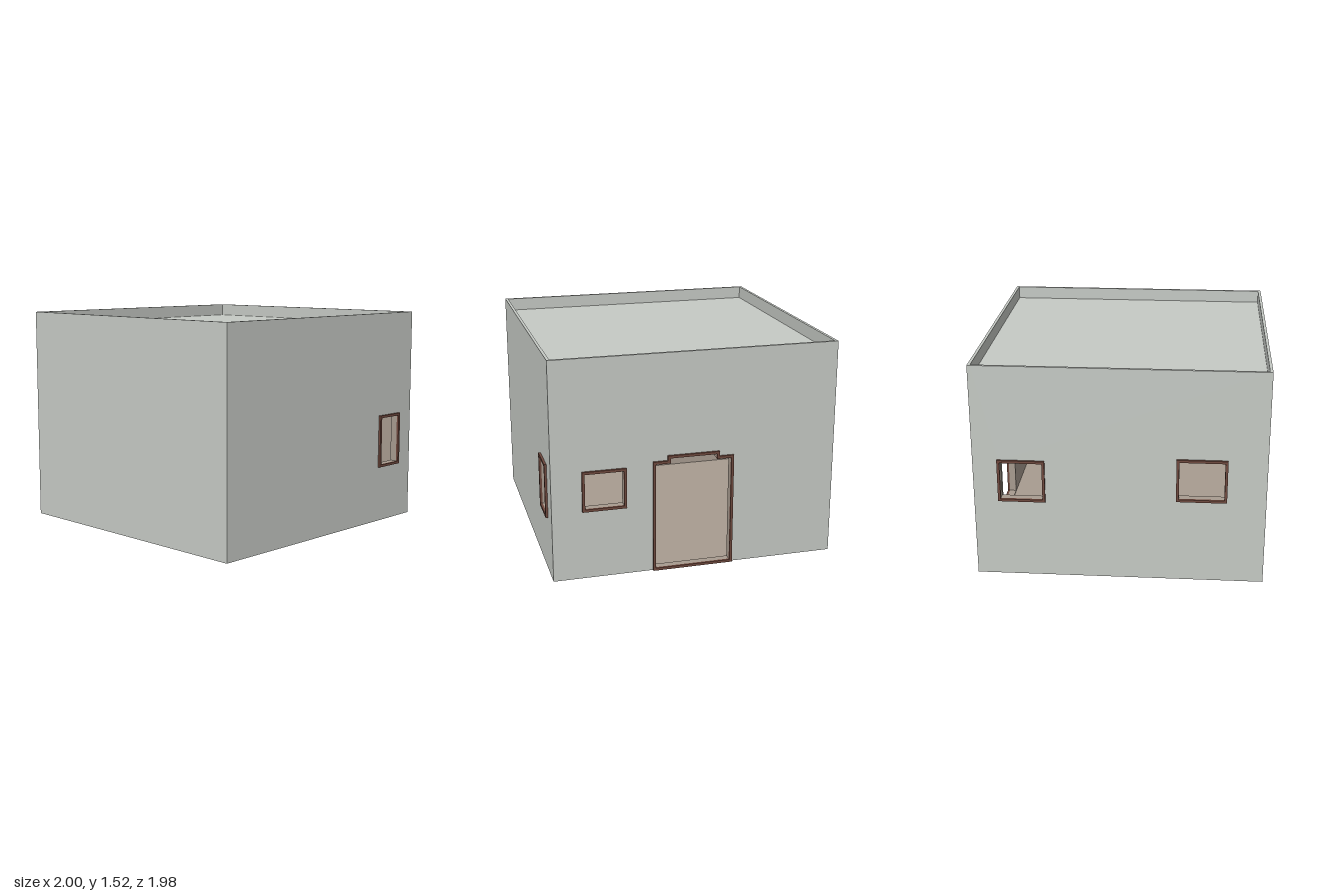
import * as THREE from 'three';

const HALF = 0.984;      // half the outer width of the square building
const HEIGHT = 1.52;     // top of the parapet
const SHELL = 0.02;      // grey outer wall thickness
const LINING = 0.03;     // beige inner wall thickness
const ROOF = 1.43, CEILING = 1.415, FLOOR = 0.012;
const FRAME_WIDTH = 0.018, FRAME_DEPTH = 0.016;

// Outline of an opening, inset by i; doors have a raised middle of the head
function outline(o, i) {
  const l = o.u0 + i, r = o.u1 - i, b = o.y0 + i, t = o.y1 - i;
  const pts = [[l, b], [r, b]];
  if (o.step) {
    const s = t - o.rise;
    pts.push([r, s], [r - o.step, s], [r - o.step, t], [l + o.step, t], [l + o.step, s], [l, s]);
  } else {
    pts.push([r, t], [l, t]);
  }
  return pts.map(([x, y]) => new THREE.Vector2(x, y));
}

// Flat plate with holes, extruded outward from local z
function plate(points, holes, z, depth) {
  const shape = new THREE.Shape(points);
  holes.forEach((h) => shape.holes.push(new THREE.Path(h)));
  const geo = new THREE.ExtrudeGeometry(shape, { depth, bevelEnabled: false });
  return geo.translate(0, 0, z);
}

const rect = (half, y0, y1) => outline({ u0: -half, u1: half, y0, y1 }, 0);

export function createModel() {
  const material = (name, color) => {
    const m = new THREE.MeshStandardMaterial({ color });
    m.name = name;
    return m;
  };
  const grey = material('pale grey plaster', 0xc6cac5);
  const beige = material('beige interior', 0xa89c90);
  const brown = material('brown frame', 0x6e483d);

  const house = new THREE.Group();
  house.name = 'house';
  const add = (parent, name, geo, mat) => {
    const mesh = new THREE.Mesh(geo, mat);
    mesh.name = name;
    parent.add(mesh);
  };

  // Openings are given along each wall's own axis, seen from outside
  const walls = [
    { name: 'frontWall', turn: 0, long: true, openings: [] },
    {
      name: 'backWall', turn: Math.PI, long: true, openings: [
        { name: 'door', u0: -0.3, u1: 0.26, y0: 0, y1: 0.82, step: 0.1, rise: 0.035 },
        { name: 'backWindow', u0: -0.78, u1: -0.48, y0: 0.48, y1: 0.76 },
      ],
    },
    {
      name: 'leftWall', turn: Math.PI / 2, openings: [
        { name: 'narrowWindow', u0: 0.598, u1: 0.838, y0: 0.4, y1: 0.78 },
      ],
    },
    {
      name: 'rightWall', turn: -Math.PI / 2, openings: [
        { name: 'rearSideWindow', u0: -0.818, u1: -0.498, y0: 0.56, y1: 0.86 },
        { name: 'frontSideWindow', u0: 0.382, u1: 0.722, y0: 0.595, y1: 0.9 },
      ],
    },
  ];

  for (const w of walls) {
    const wall = new THREE.Group();
    wall.name = w.name;
    wall.rotation.y = w.turn;
    const holes = w.openings.map((o) => outline(o, FRAME_WIDTH - 0.008));
    const outer = w.long ? HALF : HALF - SHELL;
    const inner = HALF - SHELL - (w.long ? 0 : LINING);

    // Outer shell rises to the parapet, lining stops at the ceiling
    add(wall, 'outerShell', plate(rect(outer, 0, HEIGHT), holes, HALF - SHELL, SHELL), grey);
    add(wall, 'innerLining', plate(rect(inner, 0.002, CEILING), holes,
      HALF - SHELL - LINING, LINING), beige);

    // Reveal through the wall and frame on its face
    for (const o of w.openings) {
      const gap = outline(o, FRAME_WIDTH);
      add(wall, o.name + 'Reveal', plate(outline(o, FRAME_WIDTH - 0.008), [gap],
        HALF - SHELL - LINING, SHELL + LINING), beige);
      add(wall, o.name + 'Frame', plate(outline(o, 0), [gap], HALF, FRAME_DEPTH), brown);
    }
    house.add(wall);
  }

  // Floor and roof slabs fill the inside of the shell
  const inside = 2 * (HALF - SHELL);
  add(house, 'floor', new THREE.BoxGeometry(inside, FLOOR, inside).translate(0, FLOOR / 2, 0), beige);
  add(house, 'roof', new THREE.BoxGeometry(inside, ROOF - CEILING, inside)
    .translate(0, (ROOF + CEILING) / 2, 0), grey);

  // Shift forward so the back frames balance the depth
  house.position.z = FRAME_DEPTH / 2;
  const model = new THREE.Group();
  model.name = 'model';
  model.add(house);
  return model;
}
